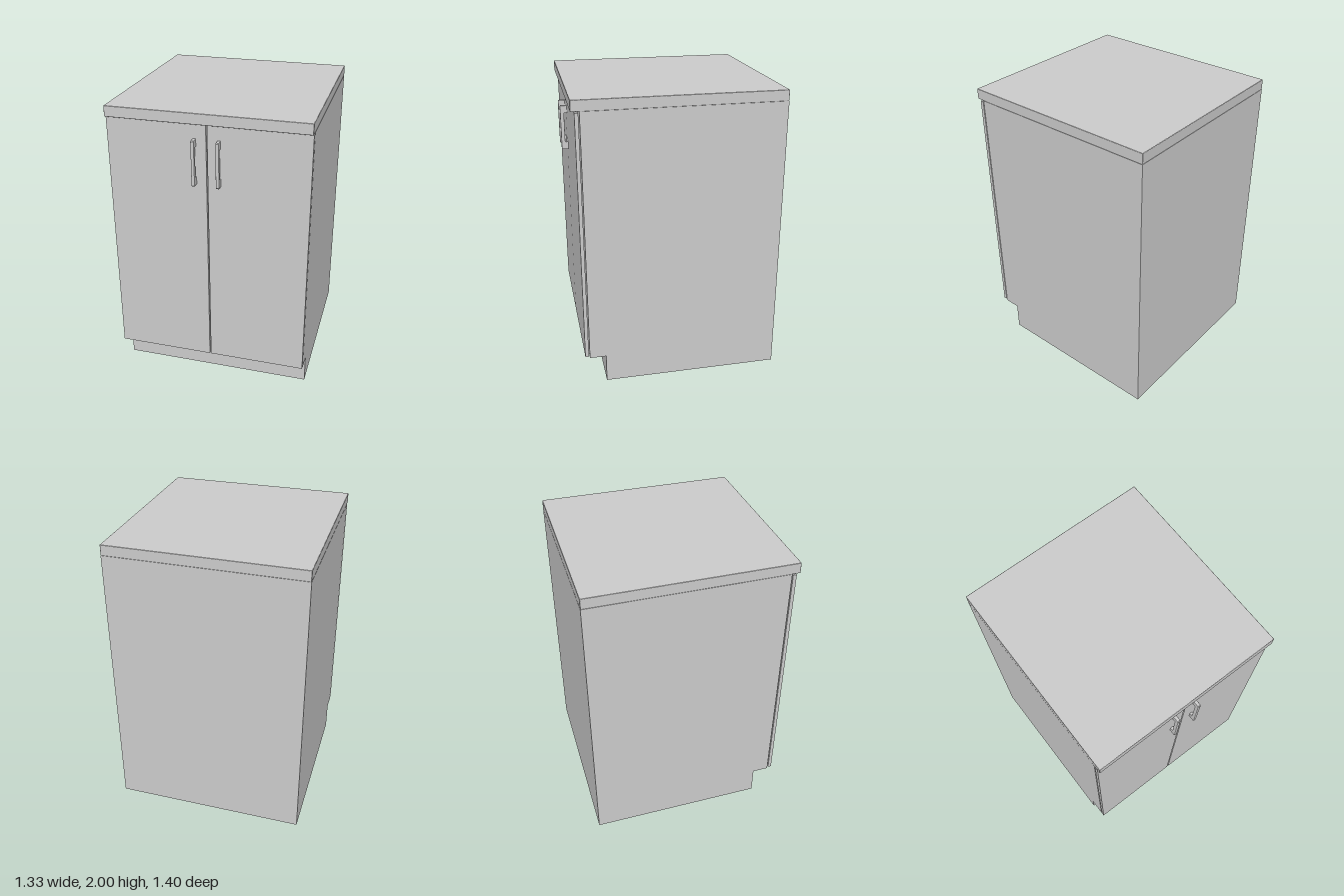
import * as THREE from 'three';
import { RoundedBoxGeometry } from 'three/addons/geometries/RoundedBoxGeometry.js';

const material = new THREE.MeshStandardMaterial({ color: 0xcccccc, flatShading: true });
const HALF_WIDTH = 0.663;

// Extrudes a side profile of [z, y] points across x, centred on x = 0
function extrudeProfile(points, width, bevel = 0) {
  const shape = new THREE.Shape(points.map(([z, y]) => new THREE.Vector2(z, y)));
  const depth = width - 2 * bevel;
  const geometry = new THREE.ExtrudeGeometry(shape, {
    depth,
    bevelEnabled: bevel > 0,
    bevelThickness: bevel,
    bevelSize: bevel,
    bevelOffset: -bevel,
    bevelSegments: 2,
  });
  geometry.translate(0, 0, -depth / 2);
  geometry.rotateY(-Math.PI / 2);
  return geometry;
}

function addPart(parent, name, geometry, x = 0, y = 0, z = 0) {
  const mesh = new THREE.Mesh(geometry, material);
  mesh.name = name;
  mesh.position.set(x, y, z);
  parent.add(mesh);
  return mesh;
}

export function createModel() {
  const cabinet = new THREE.Group();
  cabinet.name = 'cabinet';

  // Carcass with the recessed toe kick
  addPart(cabinet, 'carcass', extrudeProfile([
    [-0.7, 0], [0.513, 0], [0.513, 0.197], [0.625, 0.197], [0.625, 1.928], [-0.7, 1.928],
  ], 2 * HALF_WIDTH));

  // Worktop overhanging the doors, edges slightly eased
  addPart(cabinet, 'worktop',
    new RoundedBoxGeometry(2 * HALF_WIDTH, 0.072, 1.38, 2, 0.004), 0, 1.964, -0.01);

  // Doors stand just clear of the carcass, each with a bow handle
  const gap = 0.004;
  const doorWidth = HALF_WIDTH - gap;
  const doorGeometry = new THREE.BoxGeometry(doorWidth, 1.711, 0.024);
  const handleGeometry = extrudeProfile([
    [0.654, 1.525], [0.697, 1.525], [0.702, 1.531], [0.702, 1.824], [0.697, 1.83], [0.654, 1.83],
    [0.654, 1.778], [0.676, 1.778], [0.676, 1.578], [0.654, 1.578],
  ], 0.022, 0.004);
  for (const [side, sign] of [['left', 1], ['right', -1]]) {
    addPart(cabinet, side + 'Door', doorGeometry, sign * (gap + doorWidth / 2), 1.0645, 0.644);
    addPart(cabinet, side + 'Handle', handleGeometry, sign * 0.08);
  }

  return cabinet;
}
